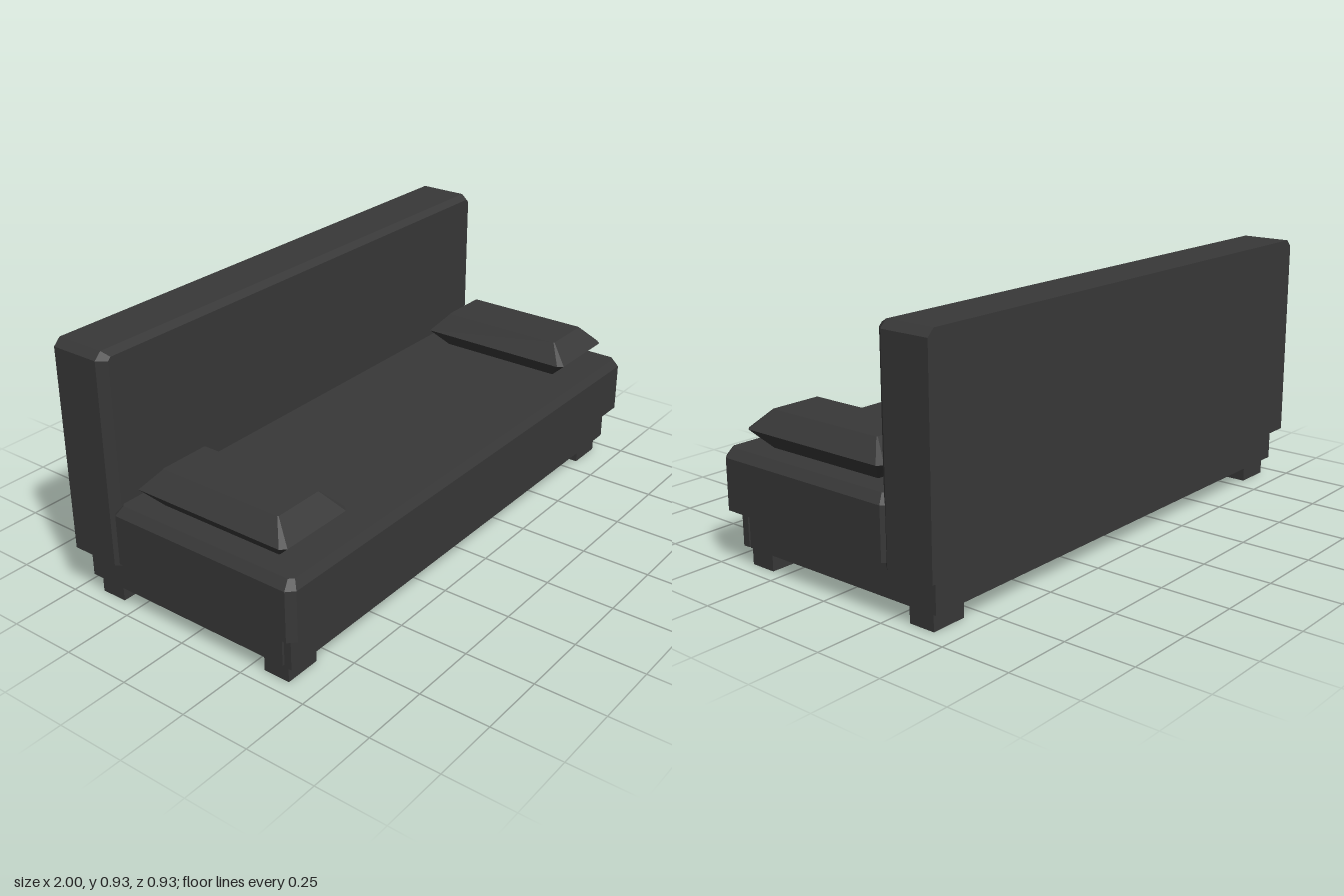
import * as THREE from 'three';

const material = new THREE.MeshStandardMaterial({ color: 0x383838, flatShading: true });

// Counter-clockwise rectangle with cut corners; w is the height along the loft axis.
function ring(w, u0, u1, v0, v1, cut, lowCut = cut) {
  return [
    [u0 + cut, v0], [u1 - cut, v0], [u1, v0 + lowCut], [u1, v1 - cut],
    [u1 - cut, v1], [u0 + cut, v1], [u0, v1 - cut], [u0, v0 + lowCut],
  ].map(([u, v]) => [u, v, w]);
}

// Joins rings into a closed faceted solid. Axis 'z': u,v = x,y. Axis 'y': u,v = z,x.
function loft(rings, axis) {
  const pos = [];
  const put = (...pts) => pts.forEach(([u, v, w]) => pos.push(...(axis === 'z' ? [u, v, w] : [v, w, u])));
  const n = rings[0].length;
  for (let k = 0; k < rings.length - 1; k++) {
    const lo = rings[k], hi = rings[k + 1];
    for (let i = 0; i < n; i++) {
      const j = (i + 1) % n;
      put(lo[i], lo[j], hi[j], lo[i], hi[j], hi[i]);
    }
  }
  const first = rings[0], last = rings[rings.length - 1];
  for (let i = 1; i < n - 1; i++) {
    put(first[0], first[i + 1], first[i]);
    put(last[0], last[i], last[i + 1]);
  }
  const geo = new THREE.BufferGeometry();
  geo.setAttribute('position', new THREE.Float32BufferAttribute(pos, 3));
  geo.computeVertexNormals();
  return geo;
}

export function createModel() {
  const model = new THREE.Group();
  model.name = 'sofa';

  const add = (name, geo) => {
    const mesh = new THREE.Mesh(geo, material);
    mesh.name = name;
    model.add(mesh);
    return mesh;
  };
  const box = (name, x0, x1, y0, y1, z0, z1) =>
    add(name, new THREE.BoxGeometry(x1 - x0, y1 - y0, z1 - z0))
      .position.set((x0 + x1) / 2, (y0 + y1) / 2, (z0 + z1) / 2);

  // Seat cushion with bevelled top and corners
  add('seat', loft([
    ring(0.195, -0.285, 0.467, -1, 1, 0.025),
    ring(0.375, -0.285, 0.467, -1, 1, 0.025),
    ring(0.405, -0.26, 0.45, -0.975, 0.975, 0.015),
  ], 'y'));

  // Backrest, bevelled around its front face and square at the bottom
  add('backrest', loft([
    ring(-0.467, -1, 1, 0.18, 0.93, 0.025, 0),
    ring(-0.285, -1, 1, 0.18, 0.93, 0.025, 0),
    ring(-0.255, -0.975, 0.975, 0.18, 0.915, 0.012, 0),
  ], 'z'));

  // Hollow base frame; the front panel stands slightly clear of the sides
  box('frontPanel', -0.96, 0.96, 0.065, 0.195, 0.398, 0.425);
  box('backPanel', -0.945, 0.945, 0.065, 0.195, -0.44, -0.415);

  for (const [side, s] of [['left', 1], ['right', -1]]) {
    const xs = (a, b) => (s > 0 ? [a, b] : [-b, -a]);
    box(side + 'Panel', ...xs(0.945, 0.96), 0.065, 0.195, -0.44, 0.39);
    box(side + 'FrontLeg', ...xs(0.813, 0.945), 0, 0.108, 0.302, 0.4);
    box(side + 'BackLeg', ...xs(0.813, 0.945), 0, 0.108, -0.416, -0.318);

    // Cushion, widest at mid height
    add(side + 'Cushion', loft([
      ring(0.403, -0.145, 0.33, ...xs(0.7, 0.89), 0.003),
      ring(0.47, -0.215, 0.4, ...xs(0.64, 0.95), 0.018),
      ring(0.535, -0.145, 0.33, ...xs(0.7, 0.89), 0.003),
    ], 'y'));
  }
  return model;
}
